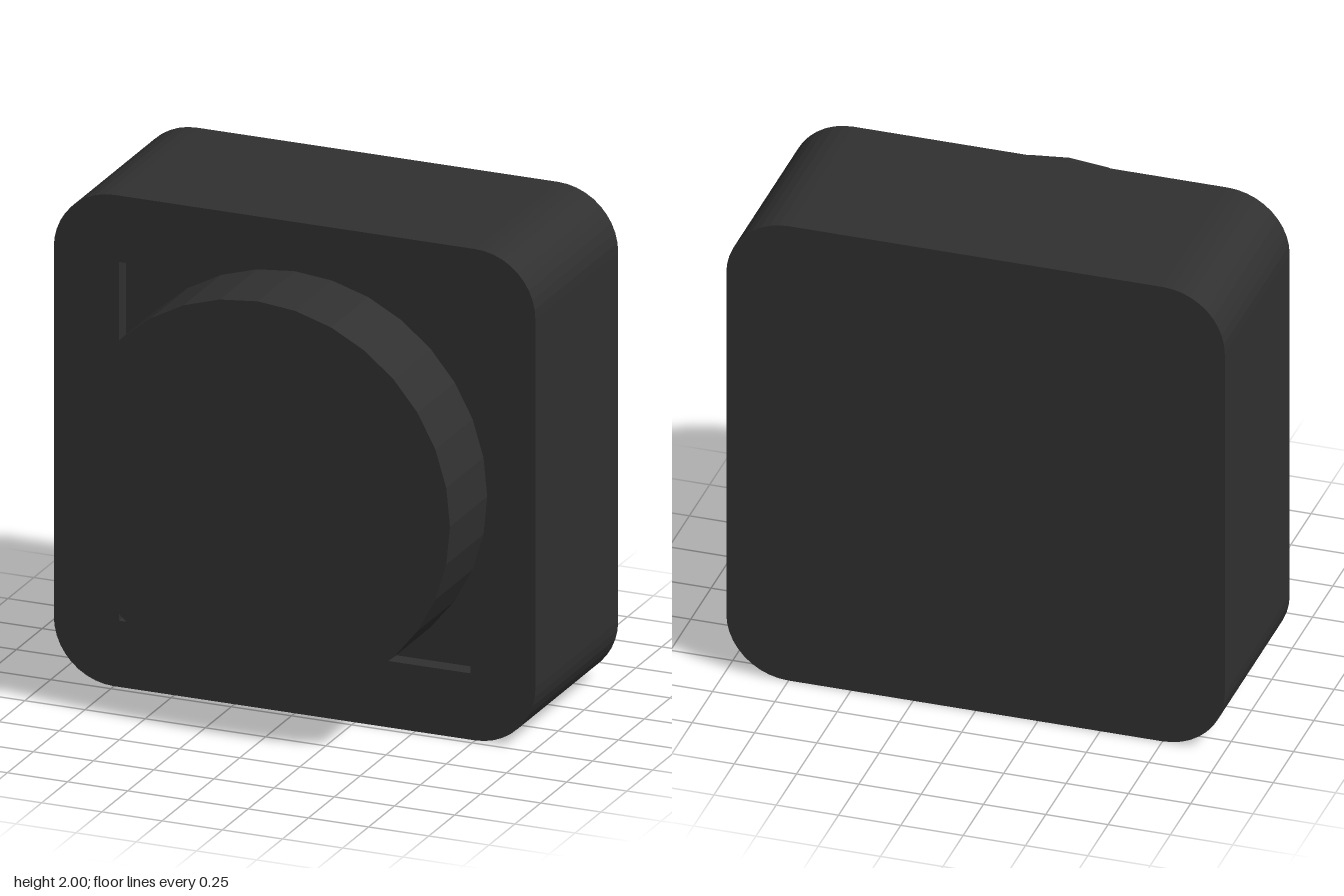
import * as THREE from 'three';

const SIZE = 2, CORNER = 0.25, RECESS = 1.46;
const BACK = -0.58, FLOOR = 0.15, FRONT = 0.22, BUTTON_FRONT = 0.58;

// Square outline with rounded corners, centred on the origin
function roundedSquare(size, r) {
  const c = size / 2 - r;
  const shape = new THREE.Shape();
  shape.absarc(c, c, r, 0, Math.PI / 2);
  shape.absarc(-c, c, r, Math.PI / 2, Math.PI);
  shape.absarc(-c, -c, r, Math.PI, Math.PI * 1.5);
  shape.absarc(c, -c, r, Math.PI * 1.5, Math.PI * 2);
  shape.closePath();
  return shape;
}

export function createModel() {
  const group = new THREE.Group();
  group.name = 'pushButton';
  const charcoal = new THREE.MeshStandardMaterial({ color: 0x303030 });
  charcoal.name = 'charcoal';
  charcoal.flatShading = true;

  const add = (name, geometry, z) => {
    const mesh = new THREE.Mesh(geometry, charcoal);
    mesh.name = name;
    mesh.position.set(0, 1, z);
    group.add(mesh);
  };
  const extrude = (shape, depth) =>
    new THREE.ExtrudeGeometry(shape, { depth, bevelEnabled: false, curveSegments: 5 });

  // Solid housing up to the floor of the recess
  add('housing', extrude(roundedSquare(SIZE, CORNER), FLOOR - BACK), BACK);

  // Front frame around the square recess
  const frame = roundedSquare(SIZE, CORNER);
  const h = RECESS / 2;
  frame.holes.push(new THREE.Path([
    new THREE.Vector2(-h, -h), new THREE.Vector2(-h, h),
    new THREE.Vector2(h, h), new THREE.Vector2(h, -h),
  ]));
  add('frame', extrude(frame, FRONT - FLOOR), FLOOR);

  // Round button resting on the frame
  const depth = BUTTON_FRONT - FRONT;
  add('button', new THREE.CylinderGeometry(0.8, 0.8, depth, 32).rotateX(Math.PI / 2), FRONT + depth / 2);

  return group;
}
